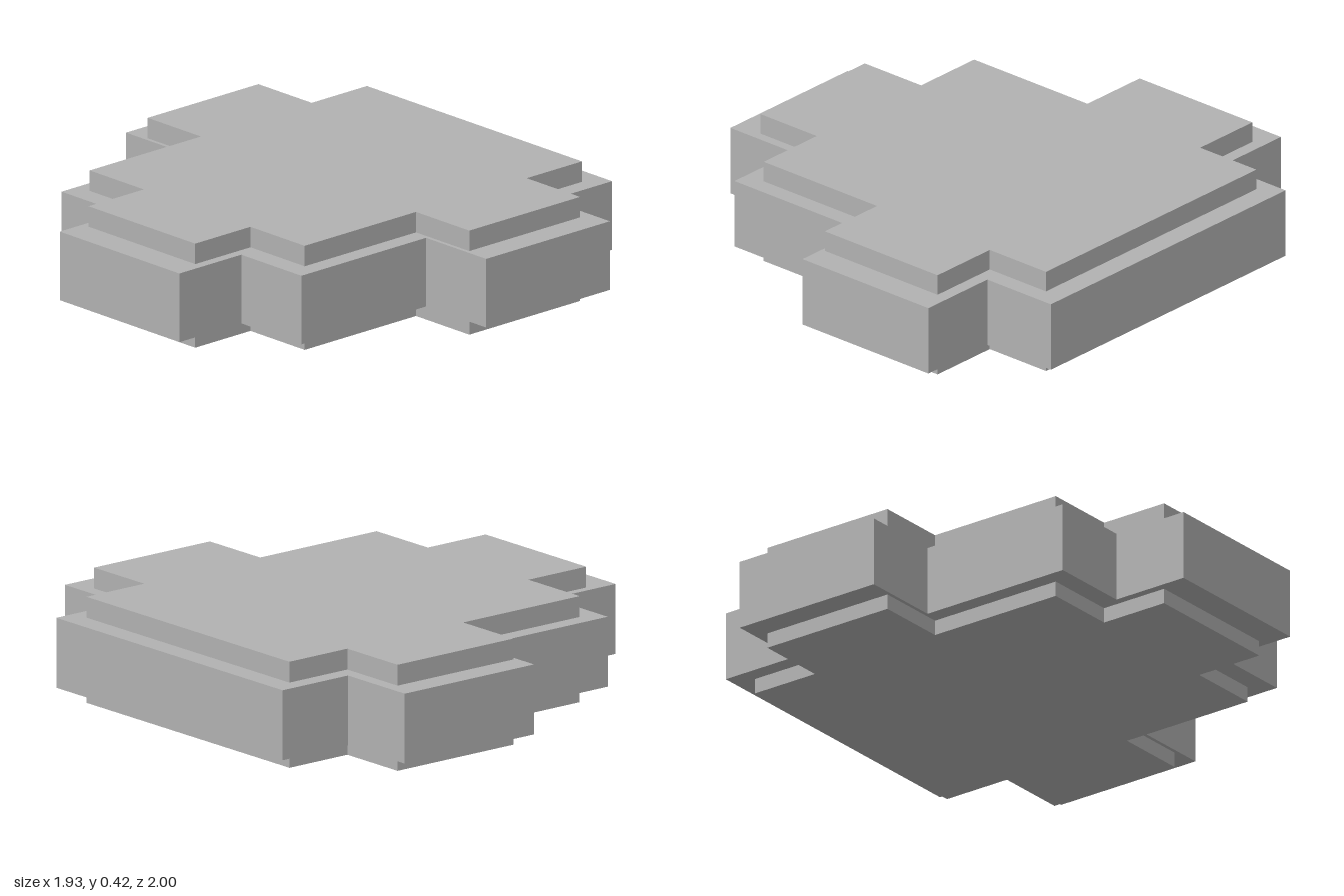
import * as THREE from 'three';

// Stepped outline, symmetric about zMid, extruded upward from y0 to y1
function steppedSlab(x, z, zMid, y0, y1) {
  const half = [
    [x[0], z[0]], [x[1], z[0]], [x[1], z[1]], [x[2], z[1]], [x[2], z[2]],
    [x[3], z[2]], [x[3], z[1]], [x[4], z[1]],
  ];
  const mirrored = half.map(([px, pz]) => [px, -pz]).reverse();
  const points = [...half, ...mirrored].map(([px, pz]) => new THREE.Vector2(px, -(pz + zMid)));
  const geometry = new THREE.ExtrudeGeometry(new THREE.Shape(points), { depth: y1 - y0, bevelEnabled: false });
  geometry.rotateX(-Math.PI / 2);
  geometry.translate(0, y0, 0);
  return geometry;
}

export function createModel() {
  const group = new THREE.Group();
  const grey = new THREE.MeshStandardMaterial({ color: 0xb2b2b2 });
  grey.name = 'grey';

  const add = (name, geometry) => {
    const mesh = new THREE.Mesh(geometry, grey);
    mesh.name = name;
    group.add(mesh);
  };

  // Wide middle slab
  add('middleSlab', steppedSlab([-0.965, -0.645, 0, 0.64, 0.963], [0.332, 0.666, 1], 0, 0.06, 0.335));

  // Smaller core that stands out above and below the slab
  add('innerCore', steppedSlab([-0.847, -0.561, 0.015, 0.588, 0.874], [0.296, 0.597, 0.893], -0.003, 0, 0.417));

  return group;
}
